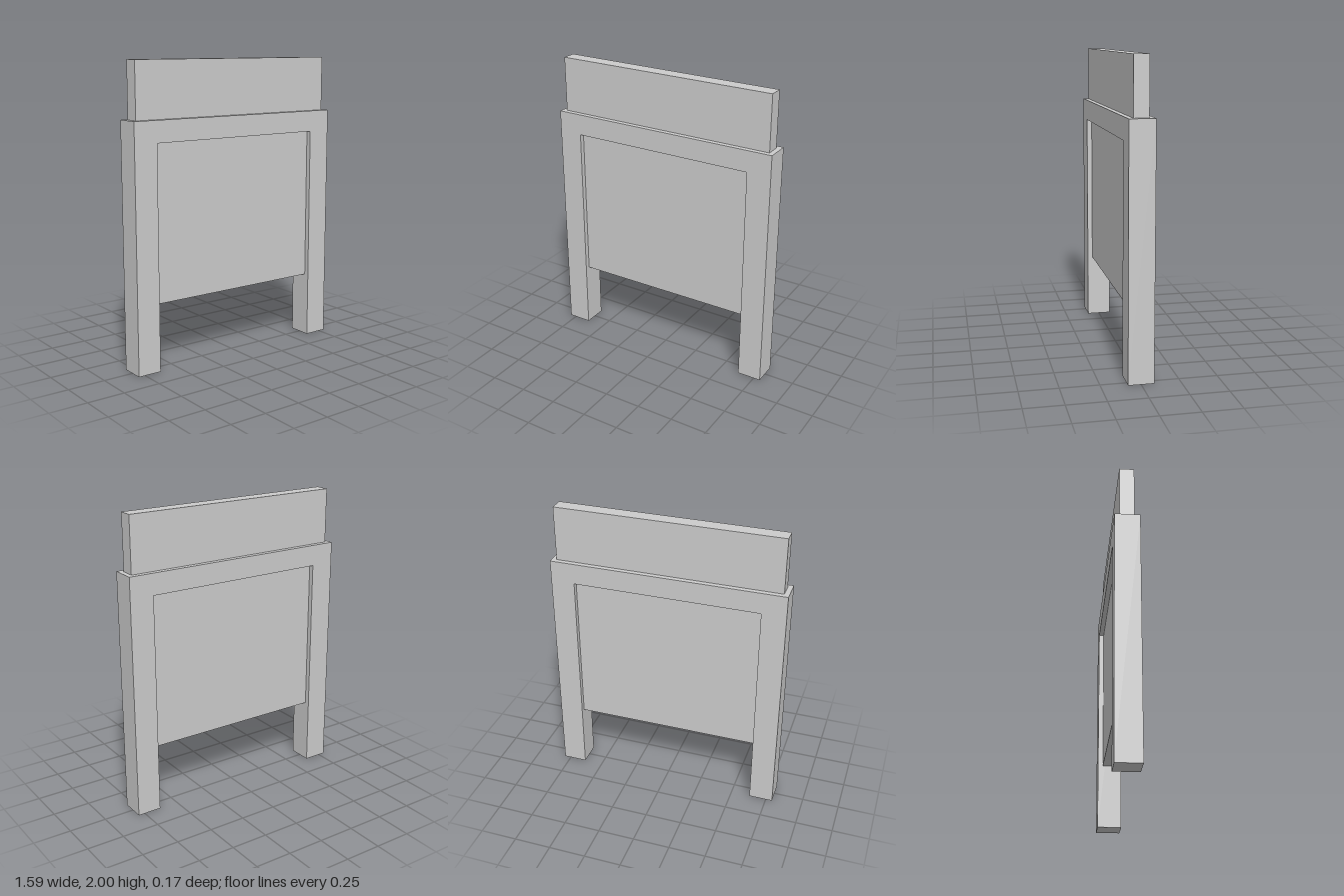
import * as THREE from 'three';

export function createModel() {
  const model = new THREE.Group();
  const material = new THREE.MeshStandardMaterial({ color: 0xcccccc });

  const halfWidth = 0.795, innerHalf = 0.632, frameTop = 1.63, innerTop = 1.487;
  const frameDepth = 0.165, boardDepth = 0.097;

  // Upside-down U frame: two legs joined by a top rail
  const outline = new THREE.Shape([
    [-halfWidth, 0], [-innerHalf, 0], [-innerHalf, innerTop], [innerHalf, innerTop],
    [innerHalf, 0], [halfWidth, 0], [halfWidth, frameTop], [-halfWidth, frameTop],
  ].map(([x, y]) => new THREE.Vector2(x, y)));
  const frameGeometry = new THREE.ExtrudeGeometry(outline, { depth: frameDepth, bevelEnabled: false });
  frameGeometry.translate(0, 0, -frameDepth / 2);
  const frame = new THREE.Mesh(frameGeometry, material);
  frame.name = 'frame';
  model.add(frame);

  // Thinner boards centred in the depth of the frame
  function addBoard(name, width, bottom, top) {
    const board = new THREE.Mesh(new THREE.BoxGeometry(width, top - bottom, boardDepth), material);
    board.name = name;
    board.position.y = (bottom + top) / 2;
    model.add(board);
  }
  addBoard('recessedPanel', innerHalf * 2, 0.445, innerTop);
  addBoard('topBoard', 1.525, frameTop, 2);

  return model;
}
